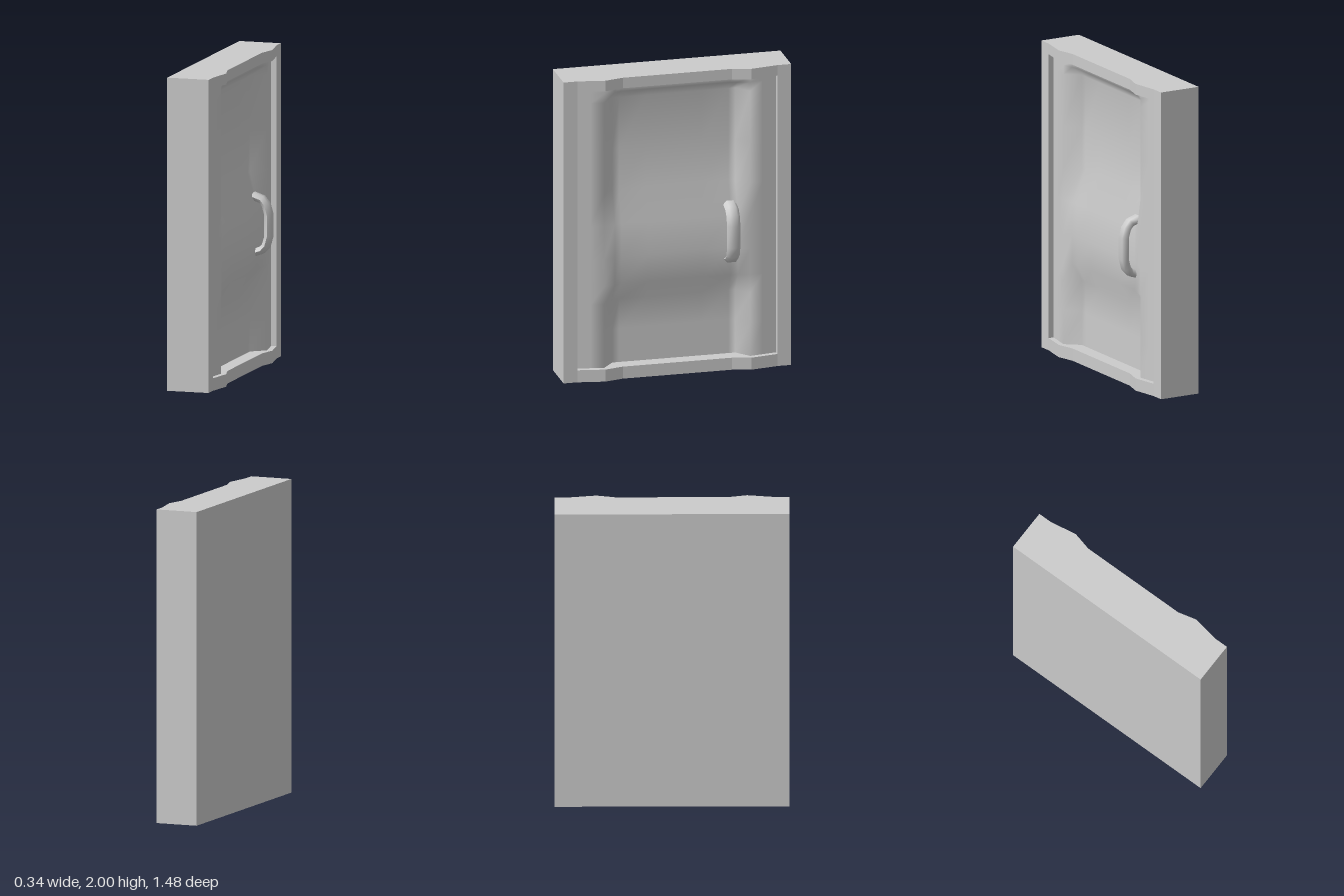
import * as THREE from 'three';

const BACK = -0.175, FACE = 0.1, HALF = 0.74, INNER = 0.65, LOW = 0.08, HIGH = 1.93, TOP = 2;

// piecewise-linear lookup through [position, value] pairs
function ramp(t, pts) {
  if (t <= pts[0][0]) return pts[0][1];
  for (let i = 1; i < pts.length; i++) {
    const [a, va] = pts[i - 1], [b, vb] = pts[i];
    if (t <= b) return va + (vb - va) * (t - a) / (b - a);
  }
  return pts[pts.length - 1][1];
}

// ridged face of the door across its width
const ridge = z => ramp(Math.abs(z), [[0.355, FACE], [0.475, 0.13], [INNER, FACE]]);

// rail: the ridged cross-section raised to a given height
function railGeometry(y0, y1) {
  const s = new THREE.Shape();
  s.moveTo(BACK, -HALF);
  for (const z of [-HALF, -INNER, -0.475, -0.355, 0.355, 0.475, INNER, HALF]) s.lineTo(ridge(z), z);
  s.lineTo(BACK, HALF);
  return new THREE.ExtrudeGeometry(s, { depth: y1 - y0, bevelEnabled: false })
    .rotateX(-Math.PI / 2).translate(0, y0, 0);
}

// inset panel: a smooth grid with an upper and a lower sunken field
function panelGeometry() {
  const half = [0.65, 0.56, 0.475, 0.4, 0.355, 0.18];
  const zs = [...half, 0, ...half.map(z => -z).reverse()];
  const ys = [LOW, 0.3, 0.5, 0.62, 0.8, 1.02, 1.23, 1.5, 1.84, 1.9, HIGH];
  const sunkY = [[LOW, 1], [0.5, 1], [0.62, 0], [1.02, 0], [1.23, 1], [1.84, 1], [1.9, 0]];
  const pos = [], idx = [], n = zs.length;
  ys.forEach((y, j) => zs.forEach((z, i) => {
    const sunk = ramp(y, sunkY) * ramp(Math.abs(z), [[0.4, 1], [0.475, 0]]);
    pos.push(THREE.MathUtils.lerp(ridge(z) - 0.035, 0.005, sunk), y, z);
    if (j && i) {
      const c = j * n + i, d = c - 1, b = c - n, a = b - 1;
      idx.push(a, b, c, a, c, d);
    }
  }));
  const g = new THREE.BufferGeometry();
  g.setAttribute('position', new THREE.Float32BufferAttribute(pos, 3));
  g.setIndex(idx);
  g.computeVertexNormals();
  return g;
}

// handle: a low-sided tube, wider than it is thick
function handleGeometry() {
  const pts = [[0.04, 1.085], [0.1, 1.065], [0.128, 1.03], [0.145, 0.97],
    [0.145, 0.83], [0.128, 0.77], [0.1, 0.74], [0.04, 0.72]];
  const path = new THREE.CurvePath();
  const v = pts.map(([x, y]) => new THREE.Vector3(x, y, 0));
  for (let i = 1; i < v.length; i++) path.add(new THREE.LineCurve3(v[i - 1], v[i]));
  // sample exactly at the corners, with averaged tangents
  path.getPointAt = u => v[Math.round(u * (v.length - 1))].clone();
  path.getTangentAt = u => {
    const i = Math.round(u * (v.length - 1));
    return v[Math.min(i + 1, v.length - 1)].clone().sub(v[Math.max(i - 1, 0)]).normalize();
  };
  const g = new THREE.TubeGeometry(path, v.length - 1, 0.028, 6);
  g.scale(1, 1, 1.55).translate(0, 0, -0.355);
  g.computeVertexNormals();
  return g;
}

export function createModel() {
  const group = new THREE.Group();
  const grey = new THREE.MeshStandardMaterial({ color: 0xcccccc });
  const thin = new THREE.MeshStandardMaterial({ color: 0xcccccc, side: THREE.DoubleSide });
  const add = (name, geometry, material = grey) => {
    const m = new THREE.Mesh(geometry, material);
    m.name = name;
    group.add(m);
  };
  const box = (x0, x1, y0, y1, z0, z1) => new THREE.BoxGeometry(x1 - x0, y1 - y0, z1 - z0)
    .translate((x0 + x1) / 2, (y0 + y1) / 2, (z0 + z1) / 2);

  // frame
  add('bottomRail', railGeometry(0, LOW));
  add('topRail', railGeometry(HIGH, TOP));
  add('leftStile', box(BACK, FACE, LOW, HIGH, INNER, HALF));
  add('rightStile', box(BACK, FACE, LOW, HIGH, -HALF, -INNER));

  // solid core behind the panel
  add('core', box(BACK, -0.03, LOW, HIGH, -INNER, INNER));

  add('panel', panelGeometry(), thin);
  add('handle', handleGeometry(), thin);
  return group;
}
